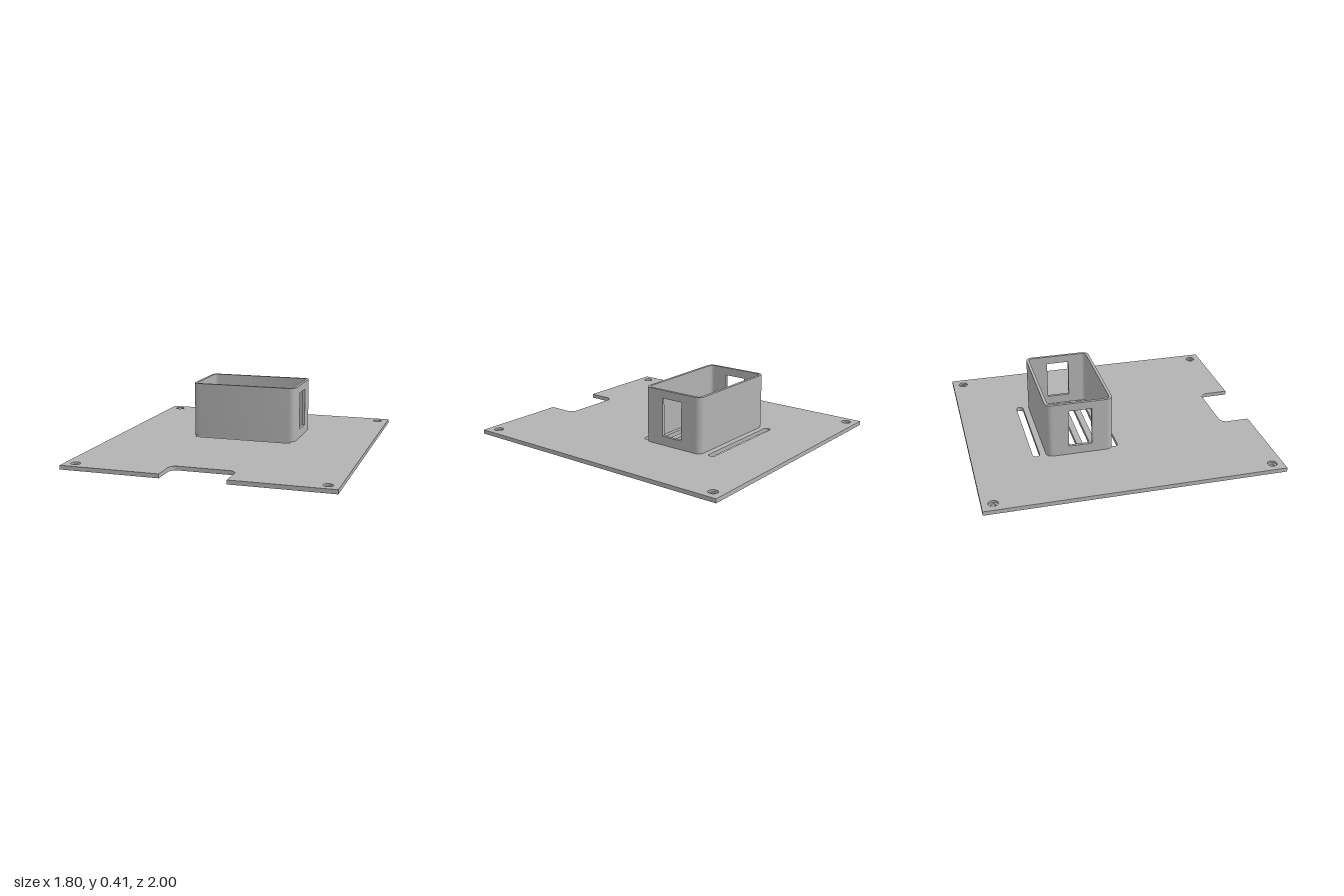
import * as THREE from 'three';
import { toCreasedNormals } from 'three/addons/utils/BufferGeometryUtils.js';

const T = 0.028; // plate thickness
const H = 0.41; // top of the box

// Extrude a plan outline (x, -z) upwards from y0 to y1
function extrudeUp(shape, y0, y1) {
  const g = new THREE.ExtrudeGeometry(shape, { depth: y1 - y0, bevelEnabled: false, curveSegments: 12 });
  g.rotateX(-Math.PI / 2).translate(0, y0, 0);
  return toCreasedNormals(g, 0.6);
}

export function createModel() {
  const group = new THREE.Group();
  const grey = new THREE.MeshStandardMaterial({ color: 0xb2b2b2 });
  grey.name = 'grey';
  const add = (name, geometry) => {
    const mesh = new THREE.Mesh(geometry, grey);
    mesh.name = name;
    group.add(mesh);
    return mesh;
  };

  // Base plate with a rounded notch in the front edge
  const n = 0.22, ny = -0.797, r = 0.05;
  const plate = new THREE.Shape();
  plate.moveTo(-0.9, -1);
  plate.lineTo(-n, -1);
  plate.lineTo(-n, ny - r);
  plate.absarc(-n + r, ny - r, r, Math.PI, Math.PI / 2, true);
  plate.absarc(n - r, ny - r, r, Math.PI / 2, 0, true);
  plate.lineTo(n, -1);
  plate.lineTo(0.9, -1);
  plate.lineTo(0.9, 1);
  plate.lineTo(-0.9, 1);
  plate.closePath();

  // Ventilation slots
  const sr = 0.024, sx = 0.353 - sr;
  for (let i = 0; i < 7; i++) {
    const y = 0.025 + i * 0.09;
    const slot = new THREE.Path();
    slot.absarc(sx, y, sr, -Math.PI / 2, Math.PI / 2, false);
    slot.absarc(-sx, y, sr, Math.PI / 2, Math.PI * 1.5, false);
    slot.closePath();
    plate.holes.push(slot);
  }

  // Stepped screw holes: a wide bore in the plate, a narrow ring at its bottom
  for (const x of [-0.825, 0.825]) {
    for (const y of [-0.925, 0.925]) {
      const bore = new THREE.Path();
      bore.absarc(x, y, 0.032, 0, Math.PI * 2, false);
      plate.holes.push(bore);
      const ring = new THREE.Shape();
      ring.absarc(x, y, 0.032, 0, Math.PI * 2, false);
      const hole = new THREE.Path();
      hole.absarc(x, y, 0.017, 0, Math.PI * 2, false);
      ring.holes.push(hole);
      add('screwSeat', extrudeUp(ring, 0, T / 2));
    }
  }
  add('basePlate', extrudeUp(plate, 0, T));

  // Box: front and back walls with rounded corners
  const X = 0.377, ro = 0.045, wall = 0.02, ri = ro - wall;
  const zBack = -0.5, zFront = -0.043;
  const zMid = (zBack + zFront) / 2, halfZ = (zFront - zBack) / 2;
  const cx = X - ro, cy = halfZ - ro;
  const endWall = new THREE.Shape();
  endWall.absarc(cx, cy, ro, 0, Math.PI / 2, false);
  endWall.absarc(-cx, cy, ro, Math.PI / 2, Math.PI, false);
  endWall.absarc(-cx, cy, ri, Math.PI, Math.PI / 2, true);
  endWall.absarc(cx, cy, ri, Math.PI / 2, 0, true);
  endWall.closePath();
  add('boxBackWall', extrudeUp(endWall, T, H)).position.z = zMid;
  const front = add('boxFrontWall', extrudeUp(endWall, T, H));
  front.position.z = zMid;
  front.rotation.y = Math.PI;

  // Box side walls, each with a rectangular window; outline in (-z, y)
  const side = new THREE.Shape();
  side.moveTo(-zMid - cy, T);
  side.lineTo(-zMid + cy, T);
  side.lineTo(-zMid + cy, H);
  side.lineTo(-zMid - cy, H);
  side.closePath();
  const win = new THREE.Path();
  win.moveTo(0.19, 0.09);
  win.lineTo(0.19, 0.355);
  win.lineTo(0.347, 0.355);
  win.lineTo(0.347, 0.09);
  win.closePath();
  side.holes.push(win);
  const sideGeo = new THREE.ExtrudeGeometry(side, { depth: wall, bevelEnabled: false });
  sideGeo.rotateY(Math.PI / 2);
  add('boxLeftWall', sideGeo).position.x = X - wall;
  add('boxRightWall', sideGeo).position.x = -X;

  return group;
}
